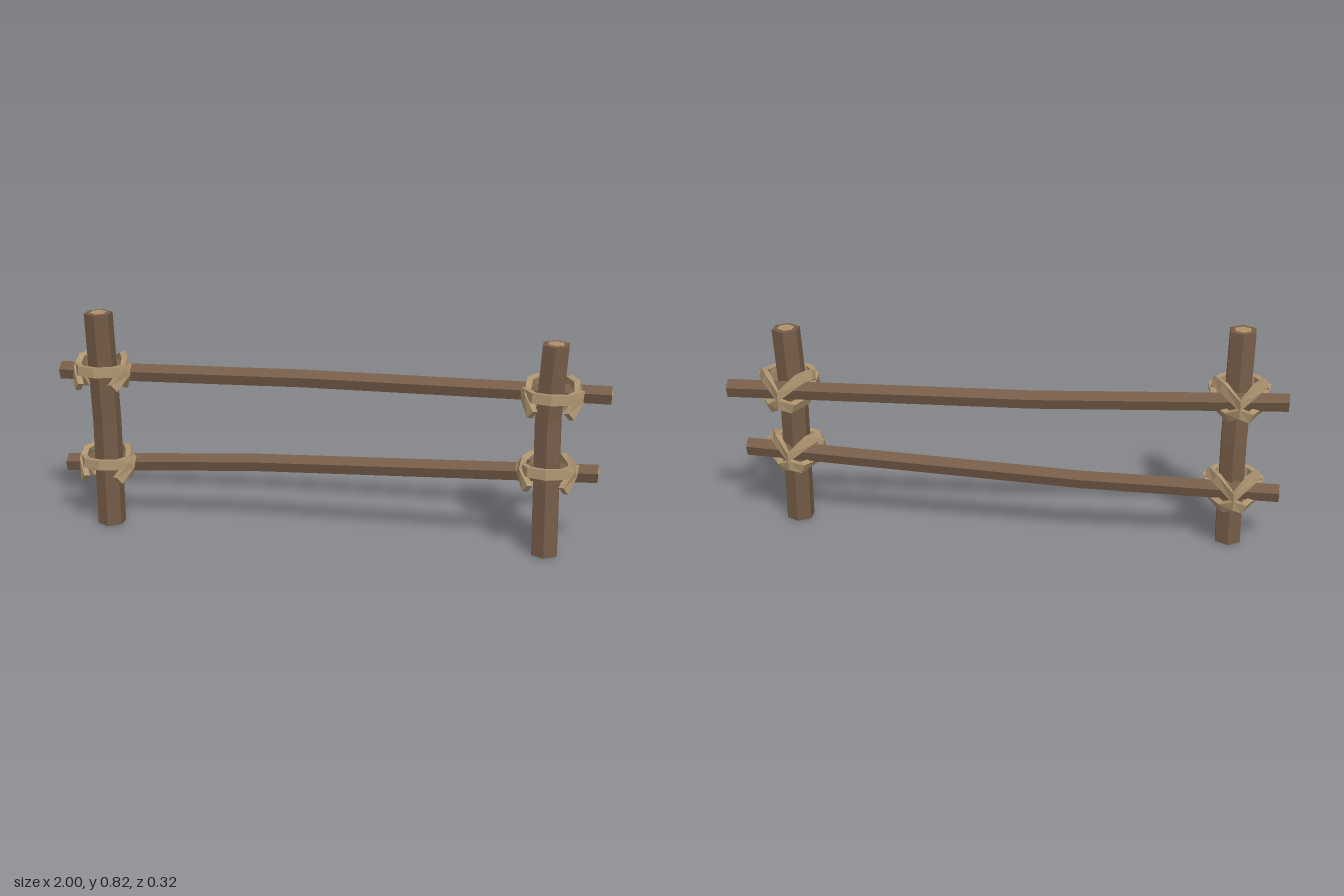
import * as THREE from 'three';

const flat = (name, color) => {
  const m = new THREE.MeshStandardMaterial({ color, flatShading: true });
  m.name = name;
  return m;
};
const V = (x, y, z) => new THREE.Vector3(x, y, z);

// Skin a list of equal-sized rings; optionally close both ends.
function loft(rings, capped) {
  const p = [];
  const tri = (a, b, c) => p.push(...a.toArray(), ...b.toArray(), ...c.toArray());
  const n = rings[0].length;
  for (let i = 0; i < rings.length - 1; i++) {
    for (let k = 0; k < n; k++) {
      const j = (k + 1) % n, A = rings[i], B = rings[i + 1];
      tri(A[k], A[j], B[j]);
      tri(A[k], B[j], B[k]);
    }
  }
  if (capped) {
    const S = rings[0], E = rings[rings.length - 1];
    for (let k = 1; k < n - 1; k++) {
      tri(S[0], S[k + 1], S[k]);
      tri(E[0], E[k], E[k + 1]);
    }
  }
  const g = new THREE.BufferGeometry();
  g.setAttribute('position', new THREE.Float32BufferAttribute(p, 3));
  g.computeVertexNormals();
  return g;
}

const polygon = (c, a, b, r, sides) => Array.from({ length: sides }, (_, k) => {
  const t = k / sides * Math.PI * 2;
  return c.clone().addScaledVector(a, Math.cos(t) * r).addScaledVector(b, Math.sin(t) * r);
});

export function createModel() {
  const model = new THREE.Group();
  model.name = 'fence';
  const bark = flat('bark', 0x755c48);
  const cut = flat('cutWood', 0xb0906c);
  const rope = flat('rope', 0xad9470);
  const add = (parent, name, geo, mat) => {
    const m = new THREE.Mesh(geo, mat);
    m.name = name;
    parent.add(m);
  };

  // Bent pole with a paler heart on each sawn end
  function pole(name, points, a, b, r, sides) {
    const g = new THREE.Group();
    g.name = name;
    add(g, 'bark', loft(points.map(c => polygon(c, a, b, r, sides)), true), bark);
    const axis = a.clone().cross(b);
    [[points[0], -1], [points[points.length - 1], 1]].forEach(([c, s]) => {
      const ends = [-0.002, 0.002].map(d =>
        polygon(c.clone().addScaledVector(axis, d + s * 0.0005), a, b, r * 0.6, sides));
      add(g, 'cutEnd', loft(ends, true), cut);
    });
    model.add(g);
  }

  const X = V(1, 0, 0), Y = V(0, 1, 0), Z = V(0, 0, 1);
  const posts = {
    right: [V(-0.82, 0.002, 0.053), V(-0.818, 0.4, 0.056), V(-0.825, 0.816, 0.075)],
    left: [V(0.795, 0.002, 0.043), V(0.785, 0.5, 0.019), V(0.8, 0.77, 0.02)],
  };
  pole('rightPost', posts.right, Z, X, 0.052, 6);
  pole('leftPost', posts.left, Z, X, 0.052, 6);
  pole('upperRail', [V(-0.998, 0.576, 0.016), V(-0.1, 0.572, -0.058), V(0.998, 0.568, -0.077)], Y, Z, 0.034, 5);
  pole('lowerRail', [V(-0.99, 0.218, 0.02), V(-0.28, 0.25, -0.02), V(0.967, 0.302, 0.002)], Y, Z, 0.034, 5);

  // Flat strap swept along a path, its broad side facing away from the centre
  function strap(path, centre, closed) {
    const n = path.length;
    const rings = path.map((p, i) => {
      const prev = closed ? path[(i + n - 1) % n] : path[Math.max(i - 1, 0)];
      const next = closed ? path[(i + 1) % n] : path[Math.min(i + 1, n - 1)];
      const t = next.clone().sub(prev).normalize();
      const out = V(p.x - centre.x, (p.y - centre.y) * 0.4, p.z - centre.z);
      out.addScaledVector(t, -out.dot(t)).normalize();
      const w = t.clone().cross(out);
      return [[1, -1], [1, 1], [-1, 1], [-1, -1]].map(([o, s]) =>
        p.clone().addScaledVector(out, o * 0.011).addScaledVector(w, s * 0.018));
    });
    if (closed) rings.push(rings[0]);
    return loft(rings, !closed);
  }

  // Lashing: a loop passing under the rail and a loose strap passing over it
  function lashing(name, x, y, pz, rz) {
    const g = new THREE.Group();
    g.name = name;
    const at = (dx, dy, z) => V(x + dx, y + dy, z);
    const centre = at(0, 0, (pz + rz) / 2);
    const half = s => [
      at(s * 0.06, 0.022, pz + 0.056), at(s * 0.098, 0.022, pz - 0.005),
      at(s * 0.075, -0.045, rz + 0.03), at(s * 0.035, -0.05, rz - 0.04),
    ];
    const under = [at(0, 0.022, pz + 0.073), ...half(1), at(0, -0.025, rz - 0.07), ...half(-1).reverse()];
    const side = s => [
      at(s * 0.062, -0.035, pz + 0.07), at(s * 0.092, 0.012, pz + 0.015),
      at(s * 0.085, 0.045, rz + 0.045), at(s * 0.06, 0.046, rz - 0.005),
    ];
    const over = [...side(1), at(0, 0.008, rz - 0.078), ...side(-1).reverse()];
    add(g, 'underLoop', strap(under, centre, true), rope);
    add(g, 'overStrap', strap(over, centre, false), rope);
    model.add(g);
  }
  lashing('upperRightLashing', -0.825, 0.588, 0.068, -0.005);
  lashing('lowerRightLashing', -0.825, 0.232, 0.058, -0.005);
  lashing('upperLeftLashing', 0.795, 0.568, 0.02, -0.074);
  lashing('lowerLeftLashing', 0.79, 0.3, 0.03, -0.012);
  return model;
}
